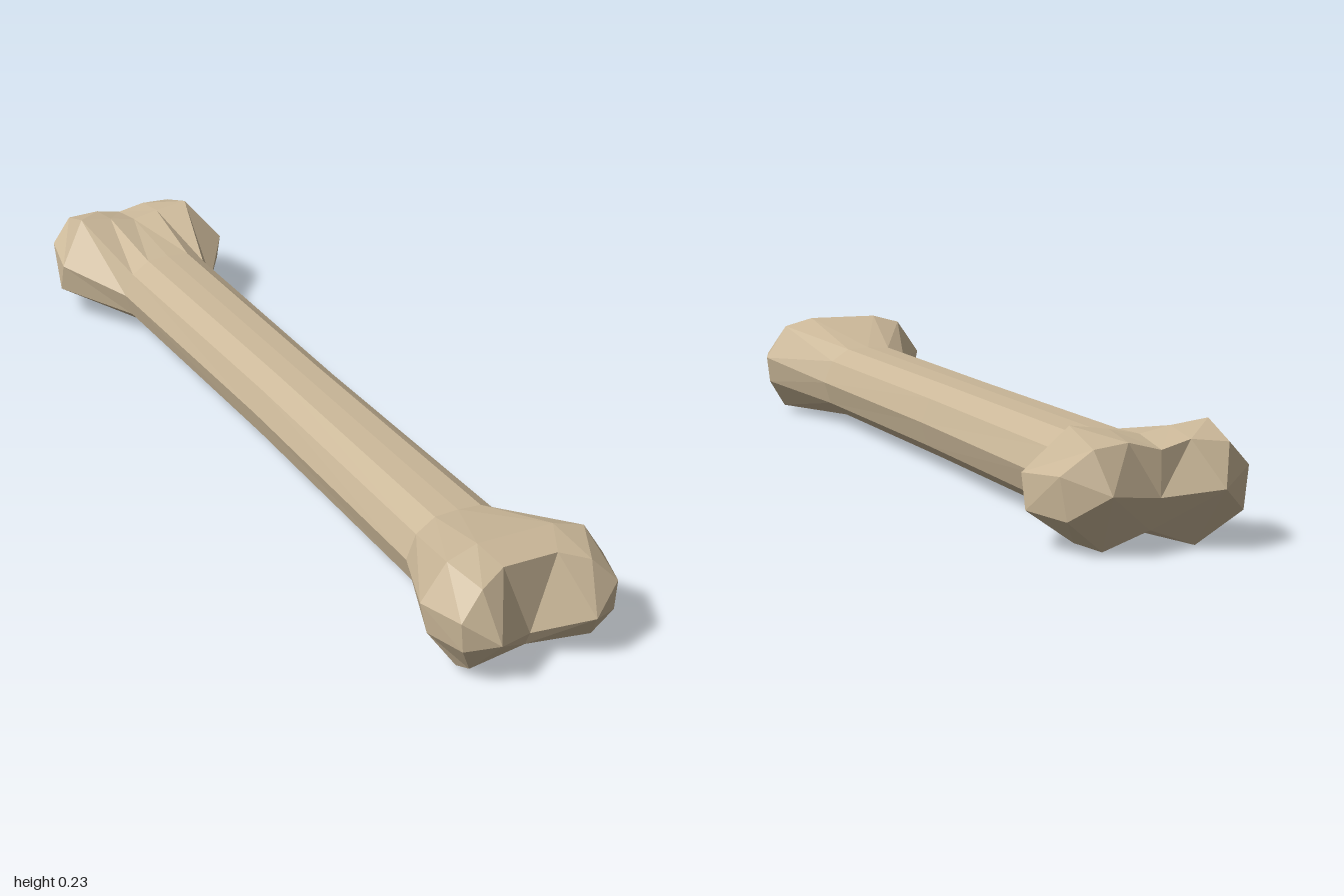
import * as THREE from 'three';

// Half cross-sections run from top centre, round the +x side, to bottom centre.
const shaftProfile = [[0, 0.18], [0.05, 0.177], [0.09, 0.15], [0.11, 0.1], [0.095, 0.05], [0.055, 0.02], [0, 0.018]];
const shaftRow = (z, s) => shaftProfile.map(([x, y]) => [x * s, y, z]);

// Front end: a broad wedge with two blunt condyles
const frontFlare = [[0, 0.233, 0.87], [0.08, 0.233, 0.87], [0.145, 0.215, 0.875], [0.195, 0.14, 0.87],
  [0.185, 0.08, 0.88], [0.14, 0.015, 0.91], [0, 0.018, 0.91]];
const frontRim = [[0, 0.207, 0.925], [0.057, 0.207, 0.925], [0.115, 0.19, 0.95], [0.165, 0.14, 0.965],
  [0.16, 0.08, 0.965], [0.13, 0.022, 0.94], [0, 0.025, 0.92]];

// Back end: two rounder knobs with a groove between them
const backFlare = [[0, 0.2, -0.87], [0.06, 0.212, -0.87], [0.135, 0.222, -0.87], [0.205, 0.135, -0.82],
  [0.205, 0.07, -0.84], [0.13, 0.014, -0.88], [0, 0.022, -0.85]];
const backRim = [[0, 0.185, -0.962], [0.06, 0.2, -0.955], [0.13, 0.193, -0.965], [0.182, 0.145, -0.94],
  [0.17, 0.065, -0.945], [0.09, 0.001, -0.915], [0, 0.035, -0.92]];

// Builds a faceted mesh from triangles of the +x half and their mirror images
function mirroredMesh(name, triangles, material) {
  const positions = [];
  for (const [a, b, c] of triangles) {
    positions.push(...a, ...b, ...c);
    for (const [x, y, z] of [a, c, b]) positions.push(-x, y, z);
  }
  const geometry = new THREE.BufferGeometry();
  geometry.setAttribute('position', new THREE.Float32BufferAttribute(positions, 3));
  geometry.computeVertexNormals();
  const mesh = new THREE.Mesh(geometry, material);
  mesh.name = name;
  return mesh;
}

// Skin between half rows ordered from front to back
function loft(rows) {
  const triangles = [];
  for (let r = 0; r < rows.length - 1; r++) {
    for (let i = 0; i < rows[r].length - 1; i++) {
      const a = rows[r][i], b = rows[r][i + 1], c = rows[r + 1][i], d = rows[r + 1][i + 1];
      triangles.push([a, b, c], [b, d, c]);
    }
  }
  return triangles;
}

// Closes an end with a knob tip on each side and a central notch
function knobCap(rim, tip, notch, facesFront) {
  const loop = [...rim.slice(1), notch, rim[1]];
  const triangles = [[notch, rim[0], rim[1]]];
  for (let i = 0; i < loop.length - 1; i++) triangles.push([tip, loop[i], loop[i + 1]]);
  return facesFront ? triangles.map(([a, b, c]) => [a, c, b]) : triangles;
}

export function createModel() {
  const bone = new THREE.MeshStandardMaterial({ color: 0xcbb899 });
  bone.name = 'bone';

  const model = new THREE.Group();
  model.name = 'legBone';
  const frontNeck = shaftRow(0.67, 1), backNeck = shaftRow(-0.67, 1);

  model.add(
    mirroredMesh('shaft', loft([frontNeck, shaftRow(0, 0.93), backNeck]), bone),
    mirroredMesh('frontEnd', [
      ...loft([frontRim, frontFlare, frontNeck]),
      ...knobCap(frontRim, [0.1, 0.095, 1], [0, 0.057, 0.935], true),
    ], bone),
    mirroredMesh('backEnd', [
      ...loft([backNeck, backFlare, backRim]),
      ...knobCap(backRim, [0.108, 0.115, -1], [0, 0.1, -0.962], false),
    ], bone),
  );
  return model;
}
